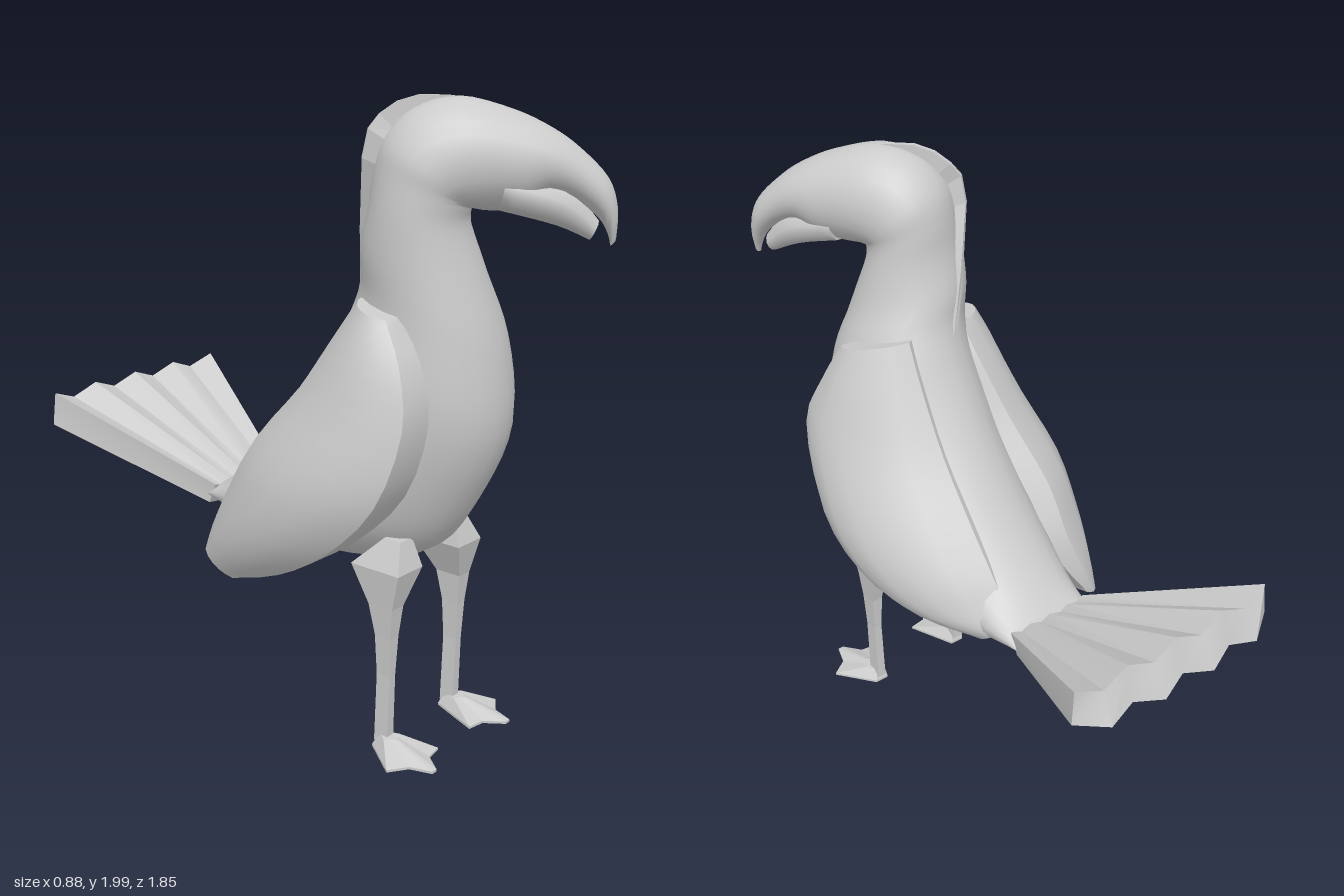
import * as THREE from 'three';
import { toCreasedNormals } from 'three/addons/utils/BufferGeometryUtils.js';

const V = (x, y, z) => new THREE.Vector3(x, y, z);

// Closed skin over a list of equal rings, with strip caps at both ends
function skin(name, rings, crease = 0) {
  const n = rings[0].length, pts = rings.flat(), idx = [];
  const quad = (a, b, c, d) => idx.push(a, b, c, a, c, d);
  for (let r = 0; r < rings.length - 1; r++)
    for (let i = 0; i < n; i++) {
      const j = (i + 1) % n, o = r * n;
      quad(o + i, o + j, o + n + j, o + n + i);
    }
  const last = (rings.length - 1) * n;
  for (let i = 0; i < n / 2 - 1; i++) {
    quad(n - 1 - i, n - 2 - i, i + 1, i);
    quad(last + i, last + i + 1, last + n - 2 - i, last + n - 1 - i);
  }
  // Turn every face outwards
  let volume = 0;
  for (let i = 0; i < idx.length; i += 3)
    volume += pts[idx[i]].dot(pts[idx[i + 1]].clone().cross(pts[idx[i + 2]]));
  if (volume < 0) idx.reverse();
  const geo = new THREE.BufferGeometry().setFromPoints(pts);
  geo.setIndex(idx);
  const mesh = new THREE.Mesh(toCreasedNormals(geo, crease),
    new THREE.MeshStandardMaterial({ color: 0xcccccc, flatShading: crease === 0 }));
  mesh.name = name;
  return mesh;
}

// Section: [front xyz, back xyz, half width, yaw of the width direction]
function ringOf([fx, fy, fz, bx, by, bz, w, yaw], outline) {
  const c = V(fx + bx, fy + by, fz + bz).multiplyScalar(0.5);
  const a = V(fx - bx, fy - by, fz - bz).multiplyScalar(0.5);
  const b = V(Math.cos(yaw) * w, 0, -Math.sin(yaw) * w);
  return outline.map(([p, q]) => c.clone().addScaledVector(a, p).addScaledVector(b, q));
}

const ellipse = (sides) => Array.from({ length: sides }, (_, i) => {
  const t = ((i + 0.5) / sides) * Math.PI * 2;
  return [Math.cos(t), Math.sin(t)];
});

// Smooth loft of an outline through the sections
function loft(name, secs, outline, { steps = 4, crease = 1 } = {}) {
  const at = (i) => secs[Math.min(Math.max(i, 0), secs.length - 1)];
  const rings = [];
  for (let s = 0; s <= (secs.length - 1) * steps; s++) {
    const i = Math.floor(s / steps), t = s / steps - i;
    const sec = at(i).map((p1, k) => {
      const p0 = at(i - 1)[k], p2 = at(i + 1)[k], p3 = at(i + 2)[k];
      return p1 + 0.5 * t * (p2 - p0 + t * (2 * p0 - 5 * p1 + 4 * p2 - p3 + t * (3 * (p1 - p2) + p3 - p0)));
    });
    rings.push(ringOf(sec, outline));
  }
  return skin(name, rings, crease);
}

// Section in an upright plane turned by yaw around (cx, cz)
const turned = (cx, cz, yaw, u0, y0, u1, y1, w) => {
  const s = Math.sin(yaw), c = Math.cos(yaw);
  return [cx + s * u0, y0, cz + c * u0, cx + s * u1, y1, cz + c * u1, w, yaw];
};
const trunk = (z0, y0, z1, y1, w, cx = 0.04) => turned(cx, 0, 0, z0, y0, z1, y1, w);
const head = (...p) => turned(-0.03, 0.46, 0.6, ...p);
const comb = (...p) => turned(-0.05, 0.46, 0.72, ...p, 0.012);

export function createModel() {
  const bird = new THREE.Group();
  bird.name = 'bird';

  // Body, neck, turned head and hooked upper beak in one skin
  bird.add(loft('body', [
    trunk(-0.35, 0.62, -0.32, 0.68, 0.16),
    trunk(-0.15, 0.56, -0.21, 0.775, 0.19),
    trunk(0.05, 0.535, -0.09, 0.905, 0.22),
    trunk(0.3, 0.555, 0.02, 1.05, 0.24),
    trunk(0.5, 0.63, 0.1, 1.17, 0.245),
    trunk(0.63, 0.81, 0.17, 1.29, 0.245),
    trunk(0.715, 1.03, 0.22, 1.39, 0.235),
    trunk(0.7, 1.28, 0.255, 1.47, 0.21, 0.025),
    turned(-0.01, 0.45, 0.15, 0.2, 1.47, -0.175, 1.56, 0.185),
    turned(-0.03, 0.45, 0.4, 0.155, 1.62, -0.14, 1.68, 0.17),
    head(0.145, 1.67, -0.135, 1.79, 0.165),
    head(0.15, 1.675, -0.105, 1.88, 0.168),
    head(0.18, 1.67, -0.025, 1.955, 0.162),
    head(0.23, 1.67, 0.1, 1.985, 0.15),
    head(0.3, 1.68, 0.25, 1.95, 0.13),
    head(0.36, 1.715, 0.36, 1.9, 0.108),
    head(0.43, 1.7, 0.44, 1.845, 0.085),
    head(0.495, 1.655, 0.52, 1.765, 0.062),
    head(0.525, 1.61, 0.55, 1.68, 0.038),
    head(0.535, 1.575, 0.55, 1.59, 0.014),
  ], ellipse(24)));
  bird.add(loft('lowerBeak', [
    head(0.22, 1.67, 0.24, 1.8, 0.125),
    head(0.38, 1.63, 0.4, 1.75, 0.088),
    head(0.475, 1.59, 0.5, 1.645, 0.04),
  ], ellipse(12)));

  // Thin crest from nape to crown
  bird.add(loft('crest', [
    turned(0, 0.42, 0.2, -0.13, 1.44, -0.18, 1.42, 0.012),
    comb(-0.08, 1.78, -0.17, 1.82),
    comb(-0.05, 1.88, -0.12, 1.945),
    comb(0.02, 1.92, 0, 2),
    comb(0.15, 1.94, 0.15, 1.985),
  ], ellipse(4), { steps: 2, crease: 0 }));

  // Folded wings with a flat front rim, the right one hanging lower
  const wing = [[1, -0.3], [1, 0.45], [0.7, 0.75], [0.35, 0.95], [-0.05, 1], [-0.45, 0.88],
    [-0.8, 0.58], [-1, 0.1], [-0.8, -0.3], [0.3, -0.5]];
  const rim = { steps: 3, crease: 0.75 };
  bird.add(loft('leftWing', [
    [0.23, 1.41, 0.45, 0.13, 1.455, 0.26, 0.085, 0],
    [0.25, 1.28, 0.51, 0.13, 1.31, 0.19, 0.135, 0],
    [0.28, 1.12, 0.55, 0.13, 1.12, 0.08, 0.175, 0],
    [0.3, 0.88, 0.44, 0.13, 0.94, -0.06, 0.205, 0],
    [0.29, 0.72, 0.28, 0.13, 0.8, -0.17, 0.185, 0],
    [0.26, 0.63, 0.07, 0.13, 0.7, -0.23, 0.125, 0],
    [0.18, 0.58, -0.16, 0.15, 0.65, -0.26, 0.045, 0],
  ], wing, rim));
  bird.add(loft('rightWing', [
    [-0.2, 1.385, 0.5, -0.11, 1.415, 0.33, -0.085, 0],
    [-0.23, 1.27, 0.59, -0.12, 1.3, 0.25, -0.13, 0],
    [-0.25, 1.1, 0.63, -0.15, 1.12, 0.13, -0.165, 0],
    [-0.28, 0.88, 0.57, -0.18, 0.94, -0.02, -0.195, 0],
    [-0.29, 0.7, 0.4, -0.19, 0.78, -0.11, -0.18, 0],
    [-0.29, 0.57, 0.19, -0.23, 0.65, -0.16, -0.12, 0],
    [-0.3, 0.49, -0.03, -0.27, 0.55, -0.185, -0.04, 0],
  ], wing, rim));

  // Pleated tail fan; each row is [half width, then y and z of ridges and of folds]
  const tailRow = (half, yRidge, zRidge, yFold, zFold, arc) => Array.from({ length: 9 }, (_, i) => {
    const t = i / 4 - 1;
    return V(0.035 + half * t, i % 2 ? yFold : yRidge, (i % 2 ? zFold : zRidge) + arc * t ** 4);
  });
  const tailRing = (top, bottom) => [...tailRow(...top), ...tailRow(...bottom).reverse()];
  bird.add(skin('tail', [
    tailRing([0.15, 0.685, -0.3, 0.675, -0.3, 0], [0.15, 0.615, -0.33, 0.61, -0.33, 0]),
    tailRing([0.375, 0.95, -0.85, 0.915, -0.86, 0.01], [0.385, 0.84, -0.885, 0.82, -0.918, 0.04]),
  ], 0.6));

  // Legs with flared thighs and webbed feet
  const toes = [[-0.025, -0.02], [-0.09, 0.15], [-0.03, 0.16], [0.015, 0.22],
    [0.035, 0.22], [0.06, 0.15], [0.12, 0.11], [0.025, -0.02]];
  for (const [side, x] of [['left', 0.21], ['right', -0.14]]) {
    const m = side === 'left' ? 1 : -1;
    const leg = new THREE.Group();
    leg.name = side + 'Leg';
    const ring = (y, cx, hx, z0, z1) => [[hx, z0], [hx, z1], [-hx, z1], [-hx, z0]]
      .map(([dx, z]) => V(x + m * (cx + dx), y, z));
    leg.add(skin(side + 'Shank', [
      ring(0.02, 0, 0.016, 0.42, 0.47),
      ring(0.25, 0, 0.014, 0.425, 0.475),
      ring(0.38, 0, 0.02, 0.42, 0.48),
      ring(0.48, 0, 0.028, 0.4, 0.49),
      ring(0.6, -0.02, 0.06, 0.34, 0.52),
      ring(0.69, -0.035, 0.03, 0.43, 0.49),
    ]));
    const foot = (y, s) => toes.map(([dx, dz]) => V(x + m * dx * s, y, 0.44 + dz * s));
    leg.add(skin(side + 'Foot', [foot(0, 1), foot(0.008, 1), foot(0.045, 0.3)]));
    bird.add(leg);
  }
  return bird;
}
